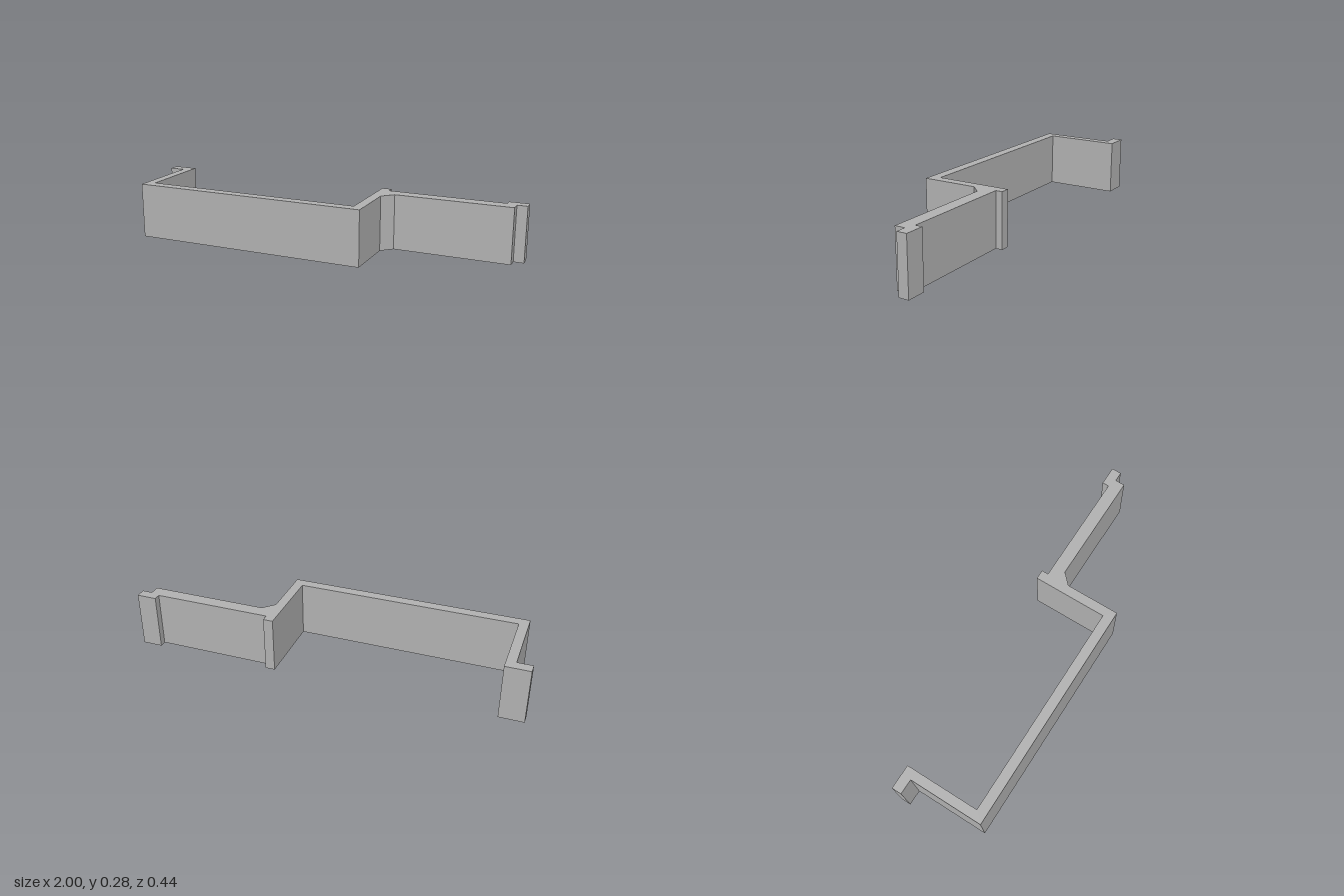
import * as THREE from 'three';

const HEIGHT = 0.284;

// Plan outline of the bracket strip as [x, z]
const OUTLINE = [
  // back of the right hook, inside of the channel
  [-1, -0.219], [-0.875, -0.219], [-0.875, 0.167], [0.251, 0.167],
  // rear stub, back of the arm, end lip
  [0.251, -0.219], [0.3, -0.219], [0.3, -0.184], [0.899, -0.184],
  [0.899, -0.219], [1, -0.219], [1, -0.168], [0.948, -0.168],
  // front of the arm, chamfered corner, outside of the channel
  [0.948, -0.117], [0.354, -0.117], [0.3, -0.063], [0.3, 0.219],
  [-0.923, 0.219], [-0.923, -0.168], [-1, -0.168],
];

export function createModel() {
  const grey = new THREE.MeshStandardMaterial({ color: 0xb0b0b0 });
  grey.name = 'grey';

  // Shape y becomes -z once the extrusion is stood upright
  const shape = new THREE.Shape(OUTLINE.map(([x, z]) => new THREE.Vector2(x, -z)));
  const geometry = new THREE.ExtrudeGeometry(shape, { depth: HEIGHT, bevelEnabled: false });
  geometry.rotateX(-Math.PI / 2);

  const bracket = new THREE.Mesh(geometry, grey);
  bracket.name = 'bracketStrip';

  const model = new THREE.Group();
  model.name = 'bracket';
  model.add(bracket);
  return model;
}
